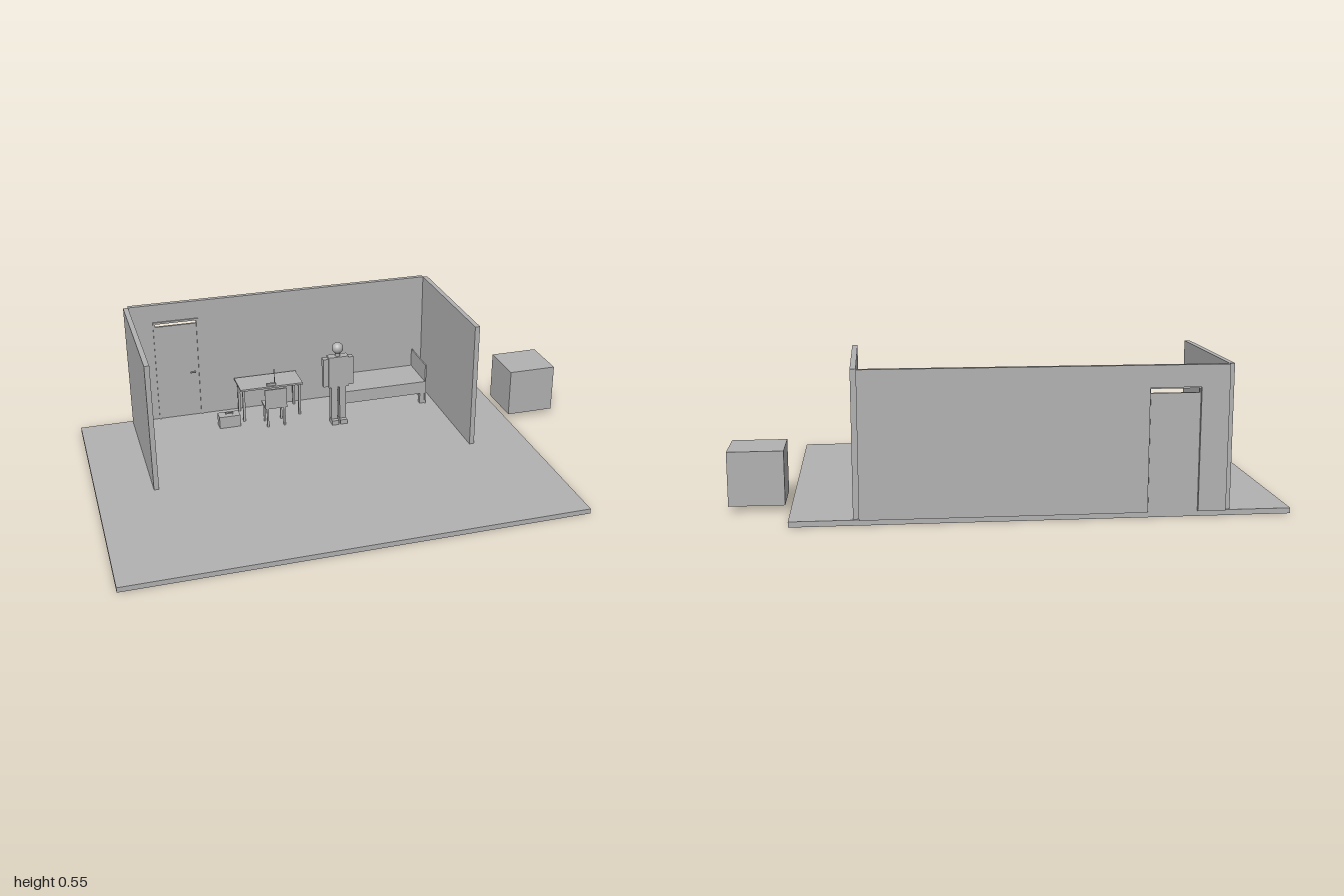
import * as THREE from 'three';

const grey = new THREE.MeshStandardMaterial({ color: 0xb2b2b2 });
grey.name = 'plain grey';

function add(parent, name, geometry) {
  const m = new THREE.Mesh(geometry, grey);
  m.name = name;
  parent.add(m);
  return m;
}

// Box given by its extents on each axis
function box(parent, name, x0, x1, y0, y1, z0, z1) {
  const m = add(parent, name, new THREE.BoxGeometry(x1 - x0, y1 - y0, z1 - z0));
  m.position.set((x0 + x1) / 2, (y0 + y1) / 2, (z0 + z1) / 2);
  return m;
}

function group(parent, name) {
  const g = new THREE.Group();
  g.name = name;
  parent.add(g);
  return g;
}

// Four square legs set at the corners of a rectangle
function legs(parent, name, x0, x1, z0, z1, y0, y1, w) {
  for (const x of [x0, x1 - w])
    for (const z of [z0, z1 - w]) box(parent, name, x, x + w, y0, y1, z, z + w);
}

const F = 0.02; // floor level

function buildRoom(root) {
  const room = group(root, 'room');
  box(room, 'floor', -1, 0.775, 0, F, -0.61, 0.62);
  box(room, 'rightWall', -0.78, -0.76, F, 0.545, -0.6, 0.005);
  box(room, 'leftWall', 0.533, 0.553, F, 0.545, -0.6, 0.005);

  // Back wall outline with the doorway cut up from its lower edge
  const wall = new THREE.Shape([
    [-0.76, F], [-0.66, F], [-0.66, 0.466], [-0.478, 0.466],
    [-0.478, F], [0.533, F], [0.533, 0.545], [-0.76, 0.545],
  ].map(([x, y]) => new THREE.Vector2(x, y)));
  add(room, 'backWall', new THREE.ExtrudeGeometry(wall, { depth: 0.02, bevelEnabled: false })).position.z = -0.62;

  // Door frame, leaf and handle
  const door = group(room, 'door');
  box(door, 'frameSide', -0.664, -0.656, F, 0.468, -0.608, -0.594);
  box(door, 'frameSide', -0.482, -0.474, F, 0.468, -0.608, -0.594);
  box(door, 'frameTop', -0.656, -0.482, 0.46, 0.468, -0.608, -0.594);
  box(door, 'doorLeaf', -0.656, -0.482, F, 0.445, -0.61, -0.6);
  box(door, 'handleStem', -0.502, -0.497, 0.222, 0.227, -0.6, -0.59);
  box(door, 'handleBar', -0.52, -0.497, 0.222, 0.227, -0.592, -0.587);
}

function buildFurniture(root) {
  // Table with a small pen stand
  const table = group(root, 'table');
  box(table, 'tableTop', -0.332, -0.058, 0.165, 0.173, -0.59, -0.46);
  legs(table, 'tableLeg', -0.322, -0.066, -0.58, -0.468, F, 0.165, 0.01);
  box(table, 'penStand', -0.215, -0.175, 0.173, 0.183, -0.478, -0.468);
  const pen = add(table, 'pen', new THREE.CylinderGeometry(0.002, 0.002, 0.065, 8));
  pen.position.set(-0.18, 0.2145, -0.473);

  // Chair turned towards the table
  const chair = group(root, 'chair');
  box(chair, 'seat', -0.243, -0.148, 0.106, 0.114, -0.46, -0.382);
  box(chair, 'chairBack', -0.243, -0.148, 0.114, 0.195, -0.389, -0.382);
  legs(chair, 'chairLeg', -0.236, -0.155, -0.455, -0.385, F, 0.106, 0.008);

  // Carry case with a handle
  const carryCase = group(root, 'carryCase');
  box(carryCase, 'caseBody', -0.433, -0.342, F, 0.072, -0.478, -0.43);
  for (const x of [-0.403, -0.375])
    box(carryCase, 'handlePost', x, x + 0.004, 0.072, 0.077, -0.456, -0.451);
  box(carryCase, 'handleGrip', -0.403, -0.371, 0.076, 0.08, -0.456, -0.451);

  // Bed with a headboard at its left end
  const bed = group(root, 'bed');
  box(bed, 'mattress', 0.095, 0.488, 0.07, 0.126, -0.595, -0.412);
  box(bed, 'headboard', 0.486, 0.492, F, 0.205, -0.595, -0.412);
  legs(bed, 'bedLeg', 0.1, 0.486, -0.59, -0.417, F, 0.07, 0.02);

  box(root, 'cube', 0.798, 1, 0.022, 0.222, -0.399, -0.198);
}

function buildPerson(root) {
  const person = group(root, 'person');
  person.position.set(0.068, 0, -0.355);
  add(person, 'head', new THREE.SphereGeometry(0.024, 24, 16)).position.y = 0.364;
  add(person, 'neck', new THREE.CylinderGeometry(0.01, 0.01, 0.024, 16)).position.y = 0.336;
  box(person, 'torso', -0.043, 0.043, 0.19, 0.329, -0.018, 0.018);
  for (const s of [-1, 1]) {
    const limb = (name, xc, w, y0, y1, z0, z1) =>
      box(person, name, s * xc - w / 2, s * xc + w / 2, y0, y1, z0, z1);
    limb('arm', 0.055, 0.022, 0.195, 0.322, -0.012, 0.013);
    limb('leg', 0.0185, 0.027, F, 0.19, -0.014, 0.014);
    limb('foot', 0.0185, 0.03, F, 0.04, -0.015, 0.033);
  }
}

export function createModel() {
  const root = new THREE.Group();
  root.name = 'furnishedRoom';
  buildRoom(root);
  buildFurniture(root);
  buildPerson(root);
  return root;
}
